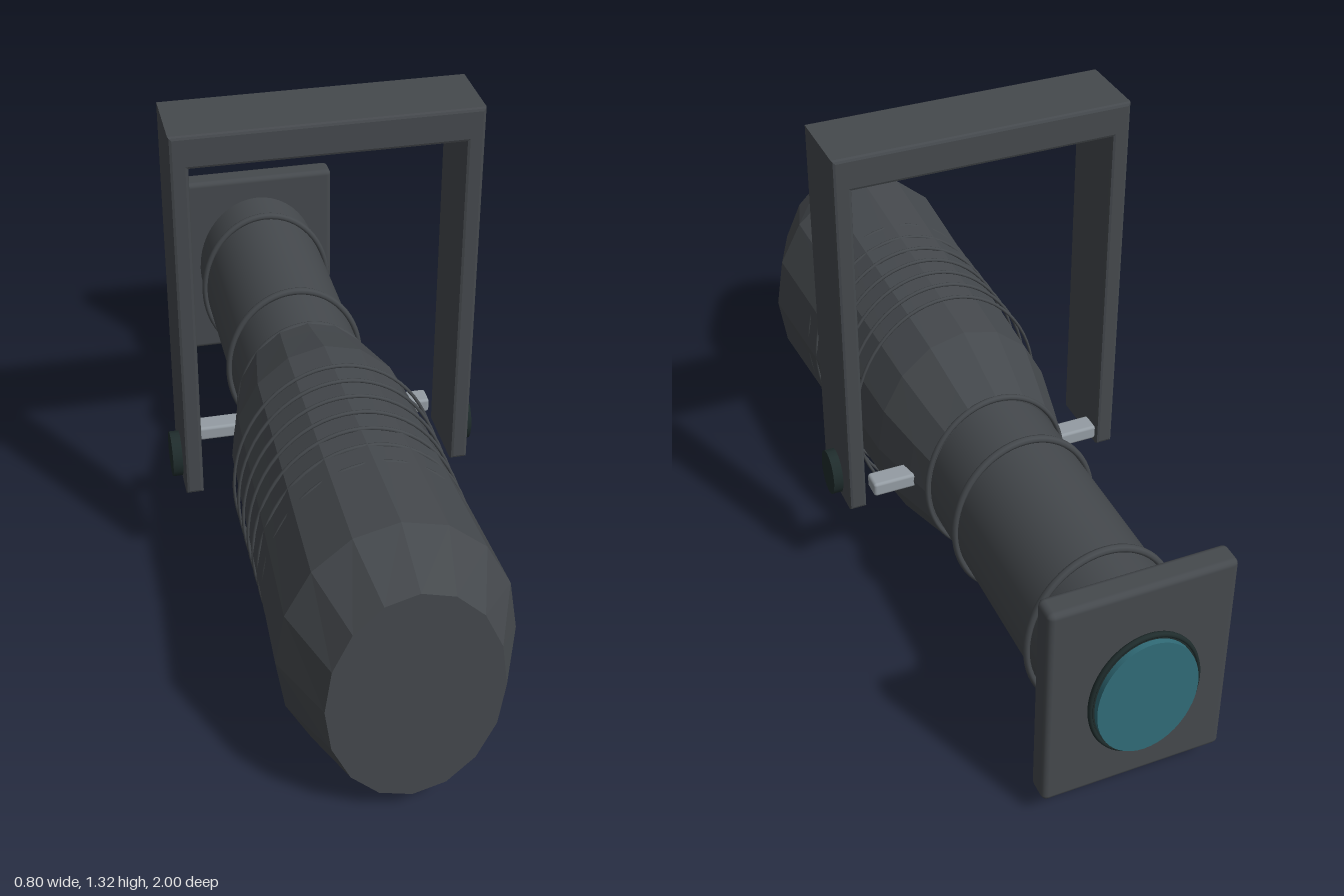
import * as THREE from 'three';
import { RoundedBoxGeometry } from 'three/addons/geometries/RoundedBoxGeometry.js';

const CY = 0.36; // height of the optical axis

function material(name, color, extra = {}) {
  const m = new THREE.MeshStandardMaterial({ color, ...extra });
  m.name = name;
  return m;
}

// Closed faceted loft through elliptical sections [z, rx, ry], front to back
function loft(sections, sides) {
  const pos = [];
  const point = ([z, rx, ry], i) => {
    const a = (i / sides) * Math.PI * 2;
    return [rx * Math.sin(a), ry * Math.cos(a), z];
  };
  const first = sections[0], last = sections[sections.length - 1];
  for (let i = 0; i < sides; i++) {
    for (let s = 0; s < sections.length - 1; s++) {
      const a = point(sections[s], i), b = point(sections[s], i + 1);
      const c = point(sections[s + 1], i + 1), d = point(sections[s + 1], i);
      pos.push(...a, ...b, ...c, ...a, ...c, ...d);
    }
    pos.push(0, 0, first[0], ...point(first, i + 1), ...point(first, i));
    pos.push(0, 0, last[0], ...point(last, i), ...point(last, i + 1));
  }
  const g = new THREE.BufferGeometry();
  g.setAttribute('position', new THREE.Float32BufferAttribute(pos, 3));
  g.computeVertexNormals();
  return g;
}

// Elliptical hoop around the axis, outer radii rx and ry
function hoop(rx, ry, wire, z) {
  return new THREE.TorusGeometry(1 - wire / ry, wire / ry, 8, 64)
    .scale(rx, ry, wire / (wire / ry)).translate(0, CY, z);
}

// Elliptical cylinder along z
function drum(rx, ry, z0, z1) {
  return new THREE.CylinderGeometry(1, 1, Math.abs(z1 - z0), 48)
    .rotateX(Math.PI / 2).scale(rx, ry, 1).translate(0, CY, (z0 + z1) / 2);
}

function block(x0, x1, y0, y1, z0, z1, r) {
  return new RoundedBoxGeometry(x1 - x0, y1 - y0, z1 - z0, 2, r)
    .translate((x0 + x1) / 2, (y0 + y1) / 2, (z0 + z1) / 2);
}

export function createModel() {
  const group = new THREE.Group();
  group.name = 'stageSpotlight';
  const metal = material('darkGreyMetal', 0x45494d);
  const faceted = metal;
  const black = material('knobBlack', 0x1f2c2c);
  const silver = material('silver', 0x949ca3);
  const glass = material('tealGlass', 0x316c78);
  const add = (name, geometry, mat) => {
    const mesh = new THREE.Mesh(geometry, mat);
    mesh.name = name;
    group.add(mesh);
    return mesh;
  };

  // Faceted lamp housing
  add('lampHousing', loft([
    [1, 0.205, 0.303], [0.83, 0.28, 0.357], [0.06, 0.245, 0.308],
    [-0.08, 0.213, 0.265], [-0.15, 0.195, 0.245],
  ], 16).translate(0, CY, 0), faceted);

  // Cooling ribs around the housing
  for (let i = 0; i < 8; i++) {
    add('coolingRib', hoop(0.266, 0.338, 0.005, 0.19 + i * 0.066), metal);
  }

  // Lens barrel with its bands
  add('lensBarrel', drum(0.18, 0.227, -0.12, -0.9), metal);
  add('housingCollar', hoop(0.196, 0.247, 0.008, -0.15), metal);
  for (const z of [-0.328, -0.758]) {
    add('barrelBand', hoop(0.195, 0.245, 0.01, z), metal);
  }

  // Square end plate and lens
  add('endPlate', block(-0.23, 0.23, 0.068, 0.653, -0.957, -0.89, 0.015), metal);
  add('lensRim', hoop(0.14, 0.18, 0.007, -0.981), black);
  add('lensBacking', drum(0.13, 0.17, -0.976, -0.986), black);
  add('lens', drum(0.126, 0.165, -0.985, -1), glass);

  // Hanging yoke: one bevelled U shape
  const b = 0.008;
  const outer = 0.375 - b, inner = 0.33 + b, foot = 0.3 + b;
  const u = new THREE.Shape();
  u.moveTo(-outer, foot);
  u.lineTo(-inner, foot);
  u.lineTo(-inner, 1.235 + b);
  u.lineTo(inner, 1.235 + b);
  u.lineTo(inner, foot);
  u.lineTo(outer, foot);
  u.lineTo(outer, 1.32 - b);
  u.lineTo(-outer, 1.32 - b);
  u.closePath();
  add('yoke', new THREE.ExtrudeGeometry(u, {
    depth: 0.2 - 2 * b, bevelThickness: b, bevelSize: b, bevelSegments: 2,
  }).translate(0, 0, -0.08 + b), metal);

  // Pivot knobs and shutter handles on both sides
  for (const s of [-1, 1]) {
    add('pivotKnob', new THREE.CylinderGeometry(1, 1, 0.035, 16)
      .rotateZ(Math.PI / 2).scale(1, 0.064, 0.05)
      .translate(s * 0.3825, CY, 0.02), black);
    const x = s * 0.255;
    add('shutterHandle', block(x - 0.06, x + 0.06, 0.34, 0.38, -0.1, -0.045, 0.008), silver);
  }
  return group;
}
